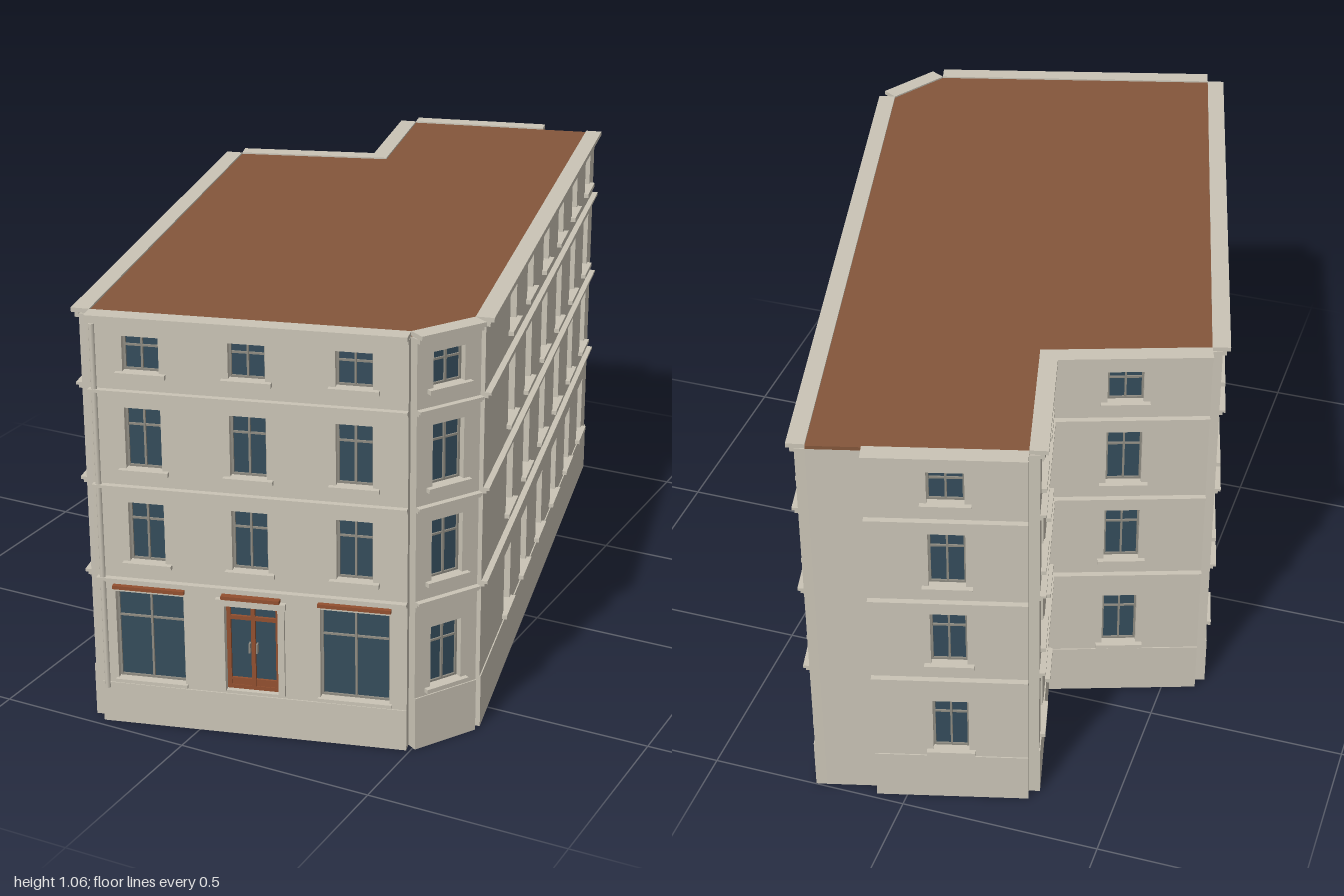
import * as THREE from 'three';

const material = (name, color) => {
  const m = new THREE.MeshStandardMaterial({ color });
  m.name = name;
  return m;
};

export function createModel() {
  const stone = material('stone', 0xcac4b6);
  const frame = material('window frame', 0x8f8c82);
  const glass = material('glass', 0x344c5b);
  const wood = material('wood', 0x93502f);
  const roofing = material('roofing', 0x84563b);

  const building = new THREE.Group();
  building.name = 'building';
  const THICK = 0.025, TOP = 1.045, PLINTH = 0.137, SHOP_PLINTH = 0.107;

  // Box given by its limits in the local frame of a wall
  function box(parent, name, mat, x0, x1, y0, y1, z0, z1) {
    const mesh = new THREE.Mesh(new THREE.BoxGeometry(x1 - x0, y1 - y0, z1 - z0), mat);
    mesh.position.set((x0 + x1) / 2, (y0 + y1) / 2, (z0 + z1) / 2);
    mesh.name = name;
    parent.add(mesh);
    return mesh;
  }

  // Four bars around an opening, with a mullion and a transom
  function bars(parent, name, mat, o, b, z0, z1, transom) {
    const l = o.x - o.w / 2, r = o.x + o.w / 2;
    box(parent, name, mat, l, l + b, o.y0, o.y1, z0, z1);
    box(parent, name, mat, r - b, r, o.y0, o.y1, z0, z1);
    box(parent, name, mat, l + b, r - b, o.y0, o.y0 + b, z0, z1);
    box(parent, name, mat, l + b, r - b, o.y1 - b, o.y1, z0, z1);
    box(parent, name, mat, o.x - b / 2, o.x + b / 2, o.y0 + b, o.y1 - b, z0, z1 + 0.001);
    const t = o.y0 + (o.y1 - o.y0) * transom;
    box(parent, name, mat, l + b, r - b, t - b / 2, t + b / 2, z0, z1 - 0.001);
  }

  function addWindow(wall, o) {
    const g = new THREE.Group();
    g.name = o.kind === 'shop' ? 'shopWindow' : 'window';
    const l = o.x - o.w / 2, r = o.x + o.w / 2;
    box(g, 'pane', glass, l, r, o.y0, o.y1, 0.0, 0.004);
    bars(g, 'windowFrame', frame, o, 0.005, 0.004, 0.009, 0.7);
    if (o.kind === 'shop') {
      box(g, 'sill', stone, l - 0.006, r + 0.006, o.y0 - 0.009, o.y0, 0.004, THICK + 0.008);
      box(g, 'woodLintel', wood, l - 0.004, r + 0.004, 0.364, 0.373, THICK, THICK + 0.012);
    } else {
      box(g, 'sill', stone, l - 0.016, r + 0.016, o.y0 - 0.011, o.y0, 0.004, THICK + 0.013);
    }
    wall.add(g);
  }

  function addDoor(wall, o) {
    const g = new THREE.Group();
    g.name = 'entrance';
    const l = o.x - o.w / 2, r = o.x + o.w / 2;
    box(g, 'doorGlass', glass, l, r, o.y0, o.y1, 0, 0.004);
    bars(g, 'doorFrame', wood, o, 0.01, 0.004, 0.012, 0.82);
    box(g, 'doorPanel', wood, l + 0.01, r - 0.01, o.y0 + 0.01, o.y0 + 0.028, 0.004, 0.01);
    for (const s of [-1, 1])
      box(g, 'doorHandle', frame, o.x + s * 0.009 - 0.002, o.x + s * 0.009 + 0.002, 0.215, 0.24, 0.004, 0.016);
    for (const x of [l - 0.016, r])
      box(g, 'doorSurround', stone, x, x + 0.016, o.y0, o.y1, THICK, THICK + 0.008);
    box(g, 'doorHood', stone, l - 0.02, r + 0.02, o.y1, o.y1 + 0.016, THICK, THICK + 0.014);
    box(g, 'woodLintel', wood, l - 0.006, r + 0.006, 0.364, 0.373, THICK, THICK + 0.016);
    wall.add(g);
  }

  // Facade slab pierced by its openings, with plinth and string courses
  function addFacade(wall, start, end, centres, isShopFront) {
    const openings = [];
    const rows = [[0.157, 0.315], [0.437, 0.59], [0.677, 0.83], [0.92, 1.007]];
    centres.forEach((x, i) => rows.forEach(([y0, y1], floor) => {
      const o = { x, y0, y1, w: 0.087, kind: 'window' };
      if (isShopFront && floor === 0) {
        if (i === 1) Object.assign(o, { w: 0.13, y0: 0.115, y1: 0.347, kind: 'door' });
        else Object.assign(o, { w: 0.168, y0: 0.12, y1: 0.354, kind: 'shop' });
      }
      openings.push(o);
    }));

    const face = new THREE.Shape([
      new THREE.Vector2(start, 0), new THREE.Vector2(end, 0),
      new THREE.Vector2(end, TOP), new THREE.Vector2(start, TOP),
    ]);
    for (const o of openings) {
      const l = o.x - o.w / 2, r = o.x + o.w / 2;
      face.holes.push(new THREE.Path([
        new THREE.Vector2(l, o.y0), new THREE.Vector2(l, o.y1),
        new THREE.Vector2(r, o.y1), new THREE.Vector2(r, o.y0),
      ]));
    }
    const slab = new THREE.Mesh(
      new THREE.ExtrudeGeometry(face, { depth: THICK, bevelEnabled: false }), stone);
    slab.name = 'wallSlab';
    wall.add(slab);

    box(wall, 'plinth', stone, start, end, 0, isShopFront ? SHOP_PLINTH : PLINTH, THICK, THICK + 0.003);
    for (const y of [0.393, 0.635, 0.875]) {
      box(wall, 'stringCourse', stone, start, end, y - 0.007, y, THICK, THICK + 0.015);
      box(wall, 'stringCourseMoulding', stone, start, end, y - 0.014, y - 0.007, THICK, THICK + 0.008);
    }
    box(wall, 'cornice', stone, start, end, 1.047, 1.058, 0, 0.044);
    box(wall, 'corniceMoulding', stone, start, end, 1.036, 1.047, THICK, 0.035);

    for (const o of openings) (o.kind === 'door' ? addDoor : addWindow)(wall, o);
  }

  // Inner outline of the plan as x, z, running front, corner, side, back
  const plan = [[-0.24, 0.952], [0.484, 0.752], [0.573, 0.6], [0.203, -0.992],
    [-0.283, -0.862], [-0.188, -0.475], [-0.574, -0.342]];
  // Bays per wall; skip leaves the first bays without windows
  const facades = [
    { name: 'frontWall', bays: 3, shop: true },
    { name: 'cornerWall', bays: 1 },
    { name: 'leftWall', bays: 7, skip: 1 },
    { name: 'backWall', bays: 1, plain: 0.127 },
    { name: 'courtSideWall', bays: 2 },
    { name: 'courtBackWall', bays: 1 },
    { name: 'rightWall', bays: 6 },
  ];
  facades.forEach((f, i) => {
    const [ax, az] = plan[i], [bx, bz] = plan[(i + 1) % plan.length];
    const length = Math.hypot(bx - ax, bz - az);
    const wall = new THREE.Group();
    wall.name = f.name;
    wall.position.set(ax, 0, az);
    wall.rotation.y = Math.atan2(az - bz, bx - ax);
    const start = f.plain || 0, centres = [];
    for (let k = f.skip || 0; k < f.bays; k++)
      centres.push(start + (length - start) * (k + 0.5) / f.bays);
    addFacade(wall, start, length, centres, f.shop);
    // Recessed blank strip beside the back facade
    if (f.plain) box(wall, 'blankWall', stone, 0, f.plain, 0, TOP, -0.01, 0);
    // Downpipe at the edge of the shop front
    if (f.shop) {
      const pipe = new THREE.Mesh(new THREE.CylinderGeometry(0.007, 0.007, 0.94, 8), stone);
      pipe.position.set(0.014, 0.565, THICK + 0.007);
      pipe.name = 'downpipe';
      wall.add(pipe);
    }
    building.add(wall);
  });

  // Flat roof
  const outline = new THREE.Shape(plan.map(([x, z]) => new THREE.Vector2(x, -z)));
  const roofGeometry = new THREE.ExtrudeGeometry(outline, { depth: 0.009, bevelEnabled: false });
  roofGeometry.rotateX(-Math.PI / 2);
  const roof = new THREE.Mesh(roofGeometry, roofing);
  roof.position.y = TOP;
  roof.name = 'roof';
  building.add(roof);

  return building;
}
